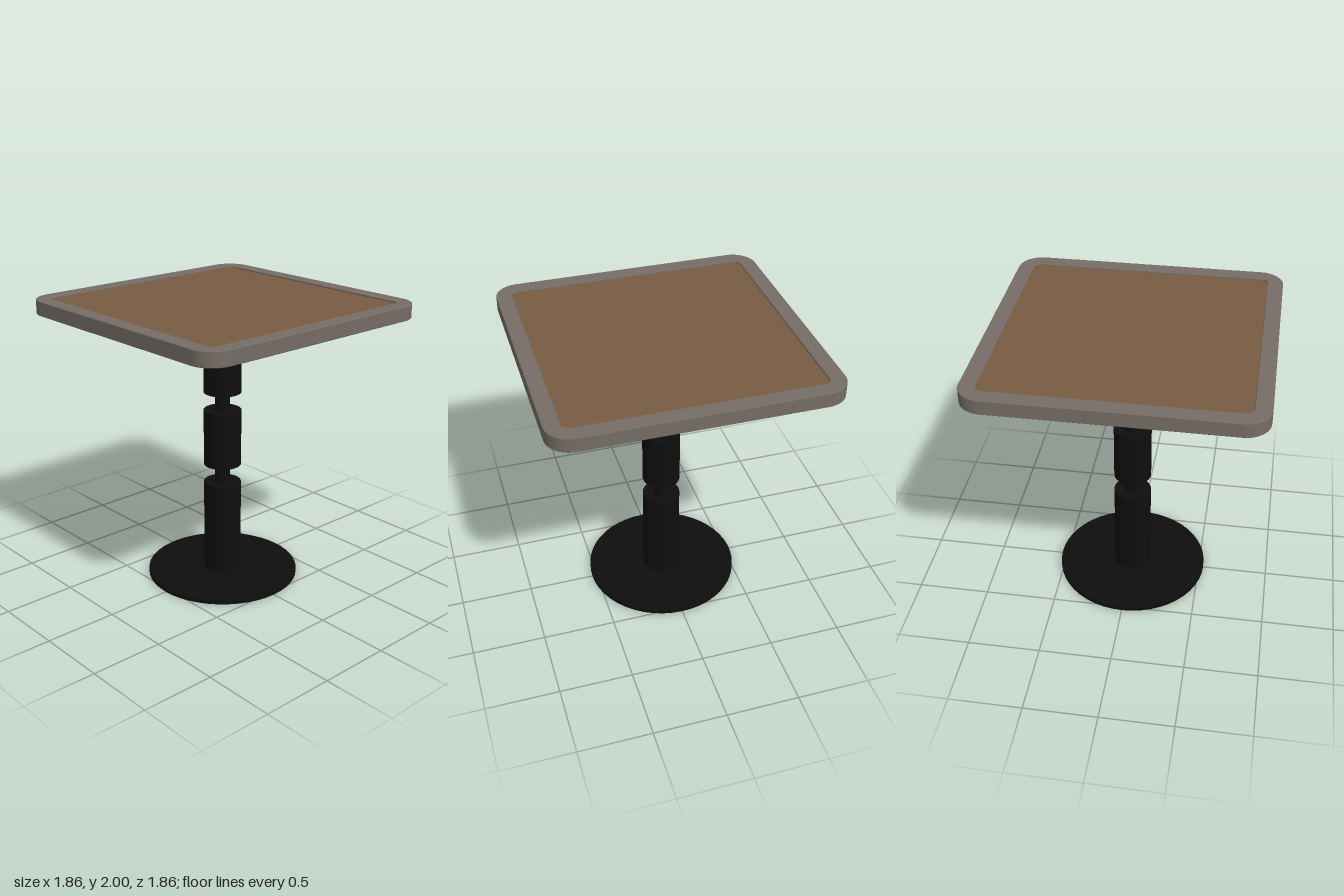
import * as THREE from 'three';

const mat = (name, color) => {
  const m = new THREE.MeshStandardMaterial({ color });
  m.name = name;
  return m;
};

// Rounded square outline, centred on the origin
function roundedSquare(half, r, Type = THREE.Shape) {
  const s = new Type();
  const c = half - r;
  s.absarc(c, c, r, 0, Math.PI / 2);
  s.absarc(-c, c, r, Math.PI / 2, Math.PI);
  s.absarc(-c, -c, r, Math.PI, Math.PI * 1.5);
  s.absarc(c, -c, r, Math.PI * 1.5, Math.PI * 2);
  s.closePath();
  return s;
}

// Horizontal slab between two heights, with an optional small bevel
function slab(shape, y0, y1, bevel = 0) {
  const geo = new THREE.ExtrudeGeometry(shape, {
    depth: y1 - y0 - 2 * bevel, curveSegments: 12,
    bevelEnabled: bevel > 0, bevelSize: bevel, bevelThickness: bevel,
    bevelOffset: -bevel, bevelSegments: 1,
  });
  geo.rotateX(-Math.PI / 2);
  geo.translate(0, y0 + bevel, 0);
  return geo;
}

export function createModel() {
  const table = new THREE.Group();
  table.name = 'pedestalTable';
  const rimMat = mat('greyRim', 0x756d65);
  const woodMat = mat('brownWood', 0x785c43);
  const blackMat = mat('blackMetal', 0x0e0e0e);

  const add = (name, geo, material) => {
    const mesh = new THREE.Mesh(geo, material);
    mesh.name = name;
    table.add(mesh);
  };
  const cylinder = (name, rTop, rBottom, y0, y1) => {
    const geo = new THREE.CylinderGeometry(rTop, rBottom, y1 - y0, 48);
    geo.translate(0, (y0 + y1) / 2, 0);
    add(name, geo, blackMat);
  };

  // Table top: raised frame around a recessed panel
  const frame = roundedSquare(0.932, 0.16);
  frame.holes.push(roundedSquare(0.825, 0.05, THREE.Path));
  add('topRim', slab(frame, 1.9, 2, 0.004), rimMat);
  add('topPanel', slab(roundedSquare(0.828, 0.05), 1.908, 1.988), woodMat);

  // Pedestal: round foot, thin pole and three thick sleeves
  cylinder('basePlate', 0.535, 0.535, 0, 0.028);
  cylinder('pole', 0.052, 0.052, 0.02, 1.9);
  [[0.02, 0.695], [0.83, 1.23], [1.36, 1.76]].forEach(([y0, y1], i) =>
    cylinder('sleeve' + (i + 1), 0.131, 0.131, y0, y1));

  // Shallow cone that carries the top
  cylinder('topFlange', 0.29, 0.052, 1.872, 1.908);
  return table;
}
